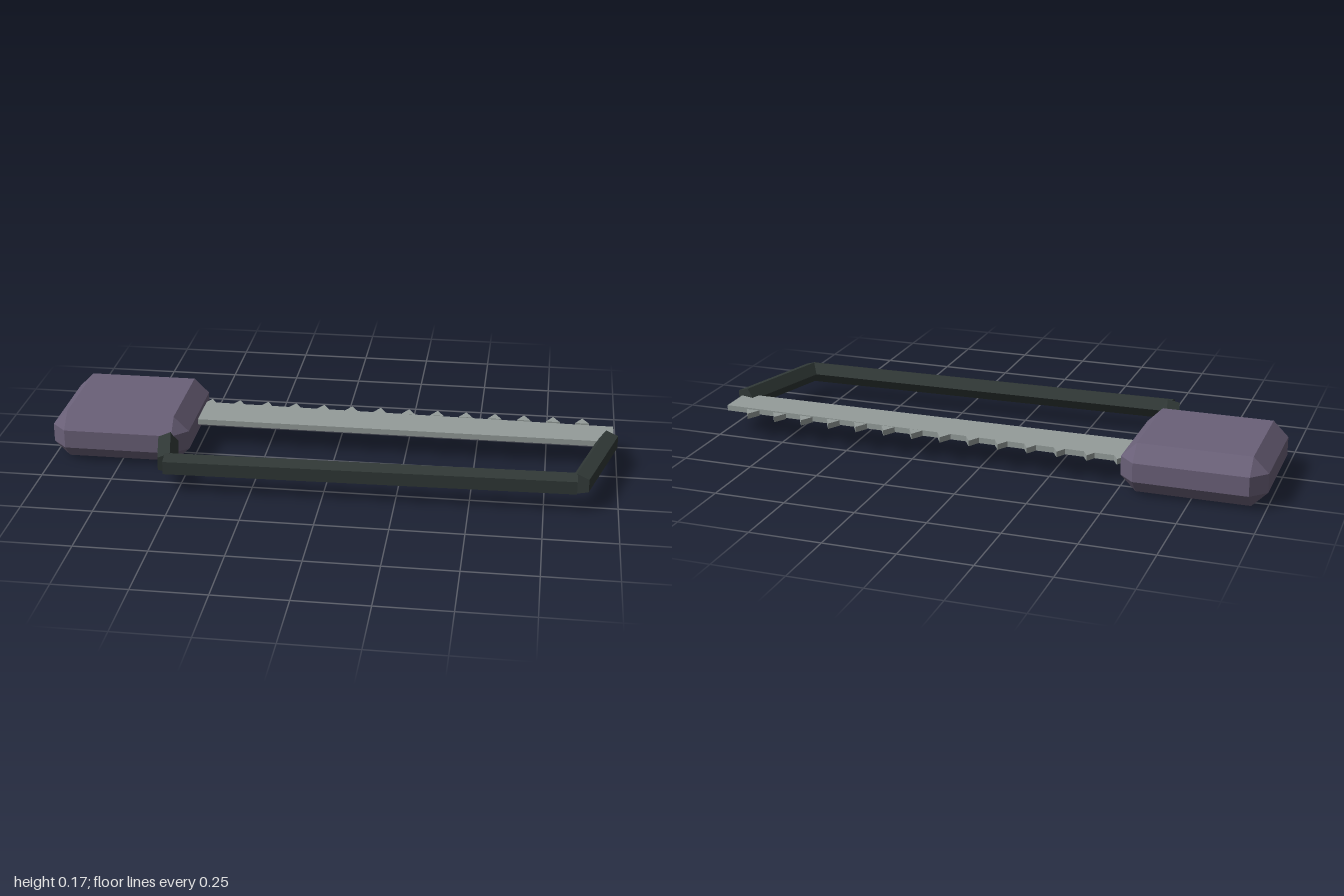
import * as THREE from 'three';
import { ConvexGeometry } from 'three/addons/geometries/ConvexGeometry.js';

const material = (name, color) => {
  const m = new THREE.MeshStandardMaterial({ color, flatShading: true });
  m.name = name;
  return m;
};

// Box with every edge and corner cut back by c
function chamferedBox(w, h, d, c) {
  const half = [w / 2, h / 2, d / 2];
  const points = [];
  for (const sx of [-1, 1]) for (const sy of [-1, 1]) for (const sz of [-1, 1])
    for (let full = 0; full < 3; full++) {
      const p = half.map((v, i) => (i === full ? v : v - c));
      points.push(new THREE.Vector3(sx * p[0], sy * p[1], sz * p[2]));
    }
  return new ConvexGeometry(points);
}

// Flat plate from an outline of [x, z] corners, lying level
function plate(corners, thickness) {
  const shape = new THREE.Shape(corners.map(([x, z]) => new THREE.Vector2(x, -z)));
  const geo = new THREE.ExtrudeGeometry(shape, { depth: thickness, bevelEnabled: false });
  return geo.rotateX(-Math.PI / 2);
}

// Five-sided bar between two [x, z] points, one flat side facing outward
function bar([x0, z0], [x1, z1], y, radius) {
  const along = new THREE.Vector3(x1 - x0, 0, z1 - z0);
  const geo = new THREE.CylinderGeometry(radius, radius, along.length(), 5);
  along.normalize();
  const inward = new THREE.Vector3(along.z, 0, -along.x);
  const side = new THREE.Vector3().crossVectors(along, inward);
  const m = new THREE.Matrix4().makeBasis(side, along, inward);
  m.setPosition((x0 + x1) / 2, y, (z0 + z1) / 2);
  return geo.applyMatrix4(m);
}

export function createModel() {
  const model = new THREE.Group();
  model.name = 'bowSaw';
  const purple = material('handlePurple', 0x6a6078);
  const steel = material('bladeSteel', 0x949c9a);
  const dark = material('frameDark', 0x303836);

  const add = (name, geo, mat, parent = model) => {
    const mesh = new THREE.Mesh(geo, mat);
    mesh.name = name;
    parent.add(mesh);
    return mesh;
  };

  // Handle block
  add('handle', chamferedBox(0.493, 0.172, 0.462, 0.053), purple)
    .position.set(-0.7535, 0.086, -0.103);

  // Blade, narrowing slightly toward the tip
  add('blade', plate([[-0.53, -0.075], [0.985, -0.075], [0.985, -0.208], [-0.53, -0.236]], 0.02), steel)
    .position.y = 0.08;

  // Row of teeth along the back edge
  const teeth = new THREE.Group();
  teeth.name = 'teeth';
  model.add(teeth);
  const toothGeo = plate([[-0.025, 0], [0.025, 0], [0, -0.044]], 0.02);
  for (let i = 0; i < 14; i++)
    add('tooth', toothGeo, steel, teeth).position.set(-0.49 + i * 0.105, 0.08, -0.223);

  // Frame bars
  add('handleBar', bar([-0.6, 0.0], [-0.538, 0.294], 0.094, 0.039), dark);
  add('longBar', bar([-0.545, 0.301], [0.858, 0.271], 0.094, 0.039), dark);
  add('tipBar', bar([0.867, 0.271], [0.969, -0.098], 0.094, 0.039), dark);

  return model;
}
